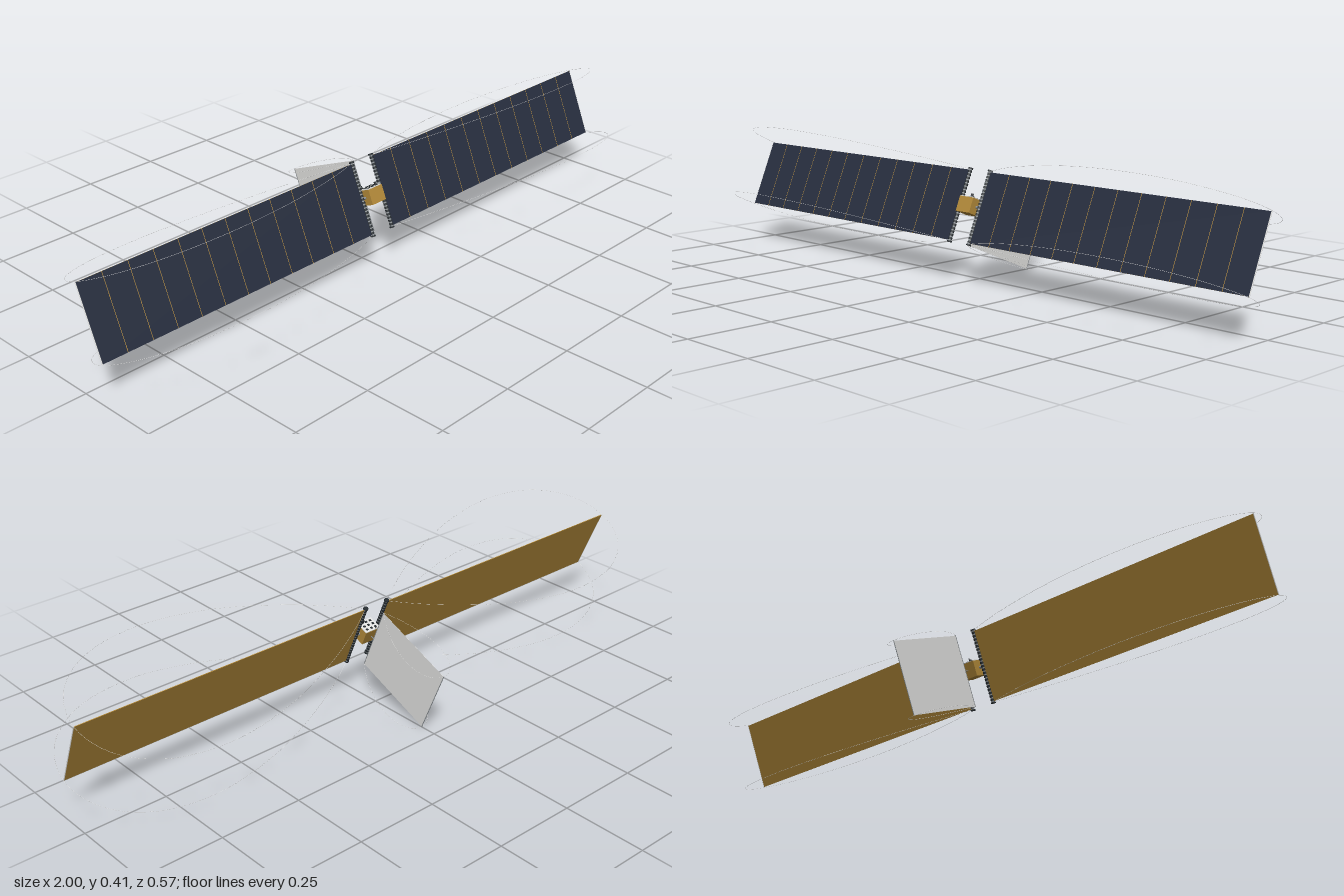
import * as THREE from 'three';

const mat = (name, color) => {
  const m = new THREE.MeshStandardMaterial({ color });
  m.name = name;
  return m;
};

export function createModel() {
  const gold = mat('gold foil', 0xb48b3a);
  const seamGold = mat('bright seam gold', 0xd9a441);
  const navy = mat('solar cell navy', 0x282f40);
  const dark = mat('dark metal', 0x262c30);
  const grey = mat('mid grey metal', 0x8a9094);
  const pale = mat('radiator pale grey', 0xe3e3e1);
  const wireMat = mat('wire white', 0xf0f0f0);

  const model = new THREE.Group();
  model.name = 'satellite';
  // everything is built upright, then pitched back
  const craft = new THREE.Group();
  craft.name = 'craft';
  craft.position.set(0, 0.2205, 0.04);
  craft.rotation.x = -0.4;
  model.add(craft);

  const add = (name, geo, material, x = 0, y = 0, z = 0, parent = craft) => {
    const m = new THREE.Mesh(geo, material);
    m.name = name;
    m.position.set(x, y, z);
    parent.add(m);
    return m;
  };
  const box = (w, h, d) => new THREE.BoxGeometry(w, h, d);
  const rod = (r, h, n = 12) => new THREE.CylinderGeometry(r, r, h, n);

  // teardrop guy wire: pointed at the root, rounded at the tip, in the x-z plane
  const half = [[0, 0], [0.085, 0.05], [0.22, 0.115], [0.43, 0.188], [0.656, 0.22],
    [0.845, 0.19], [0.96, 0.11], [1, 0]];
  const teardrop = (length, width) => {
    const outline = [...half, ...half.slice(0, -1).reverse().map(([a, b]) => [a, -b])];
    const points = outline.map(([a, b]) =>
      new THREE.Vector3(a * length, 0, (b / 0.22) * width));
    return new THREE.TubeGeometry(new THREE.CatmullRomCurve3(points), 96, 0.0004, 4);
  };

  // body with a pale, dark-chequered top deck
  add('body', box(0.055, 0.046, 0.046), gold);
  add('topDeck', box(0.054, 0.002, 0.044), pale, 0, 0.024, 0);
  for (let i = -1; i <= 1; i++) {
    for (let j = -1; j <= 1; j++) {
      add('deckUnit', box(0.007, 0.002, 0.006), dark, i * 0.016, 0.0258, j * 0.013);
    }
  }
  add('topSensor', rod(0.004, 0.011), dark, 0.012, 0.0295, 0.015);
  add('rearAntenna', rod(0.0012, 0.01, 8), dark, -0.012, 0.028, -0.019);
  const strut = add('radiatorStrut', rod(0.0012, 0.014, 8), grey, 0, 0, -0.029);
  strut.rotation.x = Math.PI / 2;

  // solar wings, one on each side
  for (const s of [1, -1]) {
    const wing = new THREE.Group();
    wing.name = s > 0 ? 'leftWing' : 'rightWing';
    craft.add(wing);

    const yoke = add('yoke', rod(0.004, 0.014), grey, s * 0.033, 0, 0, wing);
    yoke.rotation.z = Math.PI / 2;
    // ribbed mast: light core showing between dark rings
    add('mast', rod(0.0046, 0.222), grey, s * 0.04, 0, 0, wing);
    for (let i = -10; i <= 10; i++) {
      add('mastRing', rod(0.006, 0.0062), dark, s * 0.04, i * 0.0102, 0, wing);
    }
    for (const y of [-0.111, 0.111]) {
      add('mastCap', rod(0.0075, 0.004), dark, s * 0.04, y, 0, wing);
    }

    // blanket: cells on the front, foil behind
    add('blanket', box(0.954, 0.214, 0.002), [gold, gold, gold, gold, navy, gold],
      s * 0.521, 0, 0, wing);
    for (let k = 1; k <= 11; k++) {
      add('cellSeam', box(0.0012, 0.214, 0.0004), seamGold,
        s * (0.04 + 0.08 * k), 0, 0.0011, wing);
    }
    add('tipBar', rod(0.0014, 0.216, 8), pale, s * 0.9982, 0, 0, wing);

    // guy wires along the upper and lower edges
    for (const y of [-0.109, 0.109]) {
      const wire = add('wingWire', teardrop(0.959, 0.22), wireMat, s * 0.04, y, 0, wing);
      if (s < 0) wire.rotation.y = Math.PI;
    }
  }

  // thin radiator standing edge-on behind the body
  add('radiator', box(0.0004, 0.216, 0.27), pale, 0, 0, -0.17);
  for (const z of [-0.035, -0.305]) {
    add('radiatorBar', box(0.0008, 0.217, 0.0024), grey, 0, 0, z);
  }
  for (const y of [-0.109, 0.109]) {
    const wire = add('radiatorWire', teardrop(0.27, 0.065), wireMat, 0, y, -0.035);
    wire.rotation.y = Math.PI / 2;
  }

  return model;
}
